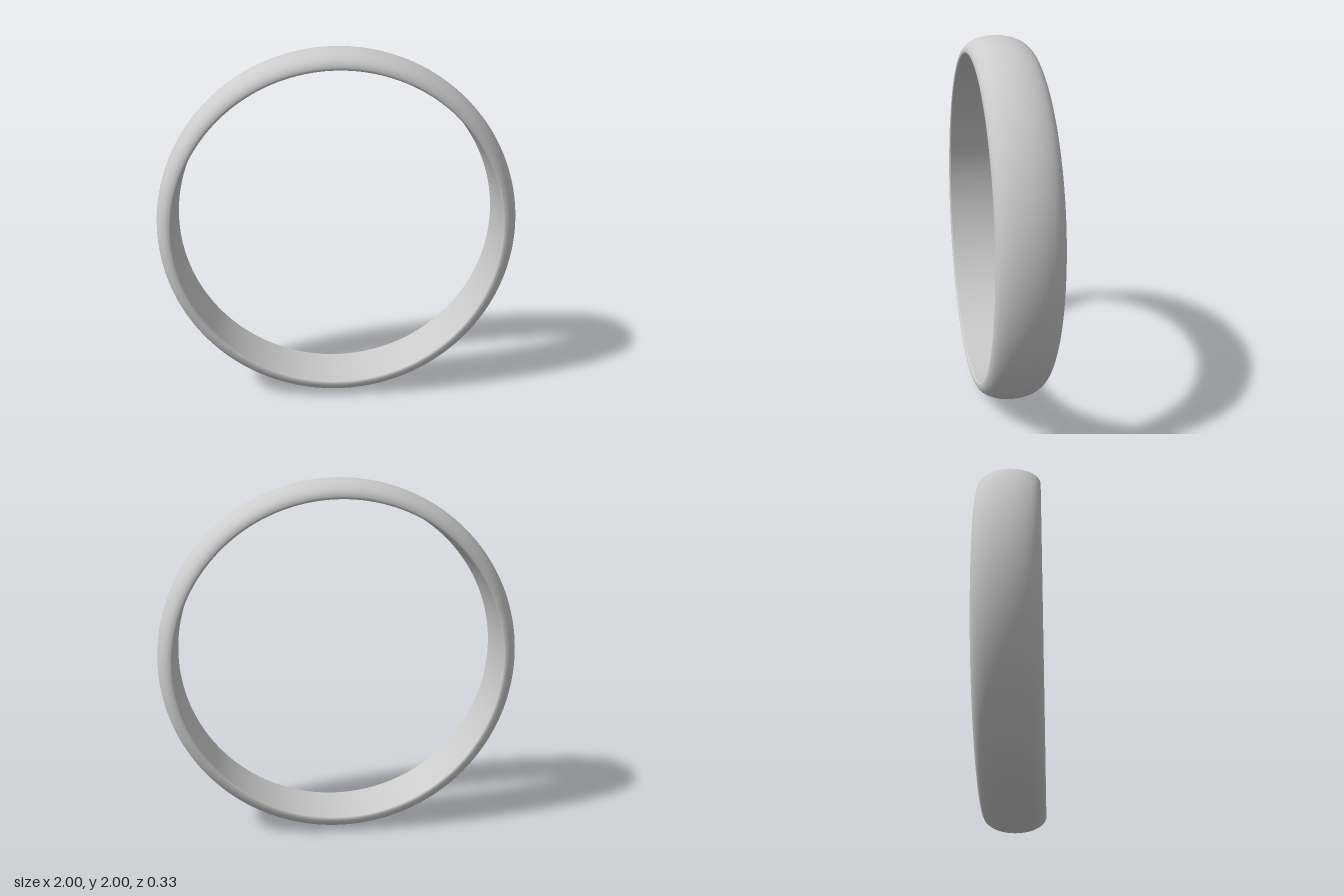
import * as THREE from 'three';

const SEGMENTS = 160;
const HALF_WIDTH = 0.165;
const EDGE_RADIUS = 0.915;
const INNER_RADIUS = 0.902;

export function createModel() {
  const group = new THREE.Group();
  group.name = 'ringBand';
  const material = new THREE.MeshStandardMaterial({ color: 0xcccccc });

  // Each profile is turned about the z axis and raised to stand on the ground
  const addTurned = (name, points) => {
    const geometry = new THREE.LatheGeometry(points, SEGMENTS);
    geometry.rotateX(Math.PI / 2);
    const mesh = new THREE.Mesh(geometry, material);
    mesh.name = name;
    mesh.position.y = 1;
    group.add(mesh);
  };

  // Domed outside: half an ellipse, with its rims rolled in to the bore
  const dome = [];
  const rim = [];
  for (let i = 0; i <= 32; i++) {
    const a = -Math.PI / 2 + (Math.PI * i) / 32;
    dome.push(new THREE.Vector2(
      EDGE_RADIUS + (1 - EDGE_RADIUS) * Math.cos(a), HALF_WIDTH * Math.sin(a)));
  }
  for (let i = 1; i <= 4; i++) {
    const a = (Math.PI / 2) * (i / 4);
    rim.push(new THREE.Vector2(
      EDGE_RADIUS - (EDGE_RADIUS - INNER_RADIUS) * Math.sin(a),
      HALF_WIDTH - 0.01 * (1 - Math.cos(a))));
  }
  const mirroredRim = rim.map((p) => new THREE.Vector2(p.x, -p.y)).reverse();
  addTurned('domedOuterSurface', [...mirroredRim, ...dome, ...rim]);

  // Straight inner bore, meeting the rims at a crisp edge
  const boreHalf = HALF_WIDTH - 0.01;
  addTurned('innerBore', [
    new THREE.Vector2(INNER_RADIUS, boreHalf),
    new THREE.Vector2(INNER_RADIUS, -boreHalf),
  ]);

  return group;
}
